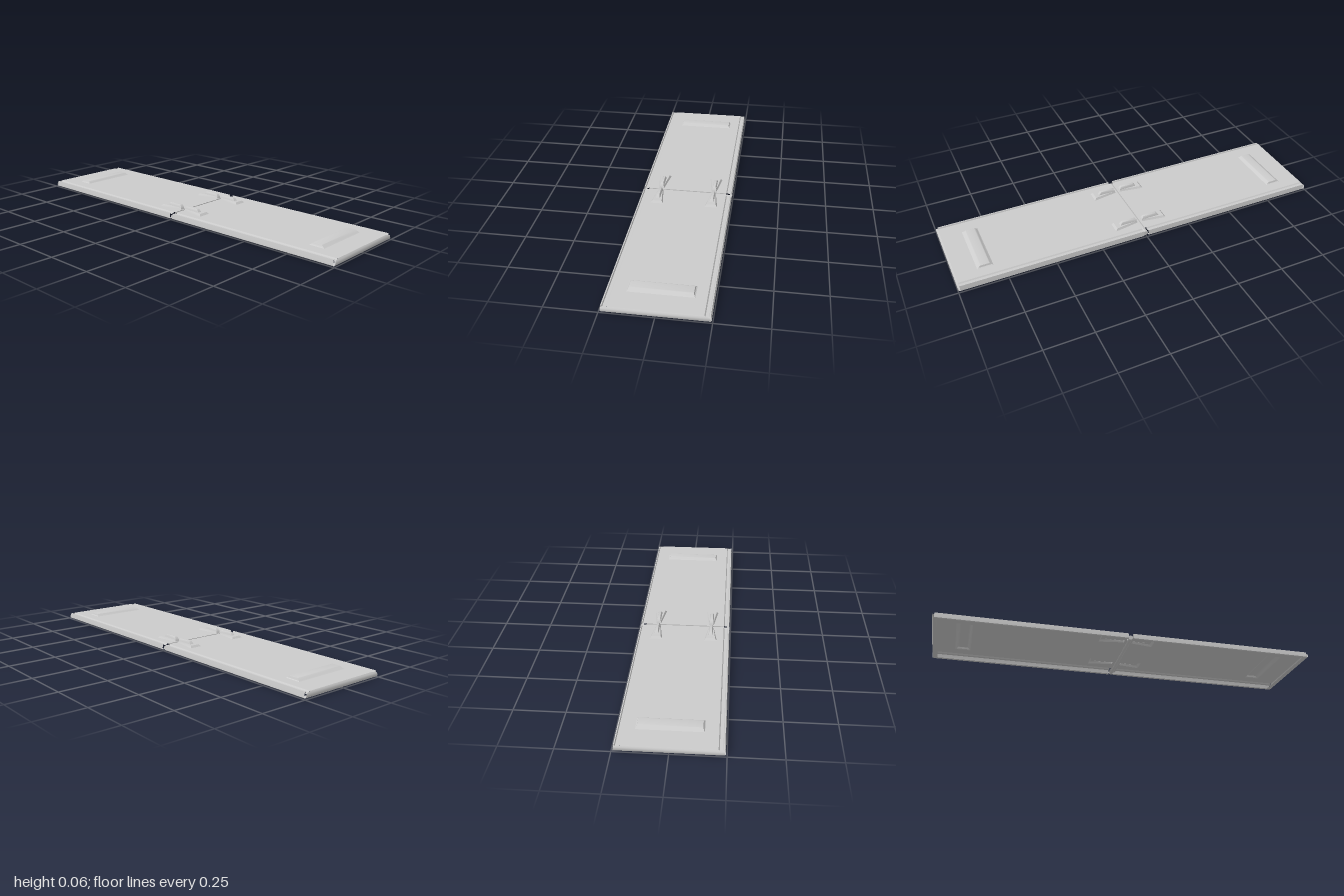
import * as THREE from 'three';
import { toCreasedNormals } from 'three/addons/utils/BufferGeometryUtils.js';

const mat = new THREE.MeshStandardMaterial({ color: 0xcccccc, side: THREE.DoubleSide });

function add(group, name, geometry) {
  const mesh = new THREE.Mesh(geometry, mat);
  mesh.name = name;
  group.add(mesh);
  return mesh;
}

// Thin skin through rows of [x, y, z] points
function skin(rows) {
  const n = rows[0].length, index = [];
  for (let r = 0; r < rows.length - 1; r++) {
    for (let i = 0; i < n - 1; i++) {
      const a = r * n + i, b = a + n;
      index.push(a, b, a + 1, b, b + 1, a + 1);
    }
  }
  const g = new THREE.BufferGeometry();
  g.setAttribute('position', new THREE.Float32BufferAttribute(rows.flat(2), 3));
  g.setIndex(index);
  return toCreasedNormals(g, 0.6);
}

// Hollow pressed bump: each ring is four [x, z] corners at height y; the last is closed
function bump(rings) {
  const rows = rings.map(({ y, c }) => [...c, c[0]].map(([x, z]) => [x, y, z]));
  const top = rings[rings.length - 1];
  const cx = top.c.reduce((t, p) => t + p[0], 0) / 4;
  const cz = top.c.reduce((t, p) => t + p[1], 0) / 4;
  rows.push(rows[0].map(() => [cx, top.y, cz]));
  return skin(rows);
}

const rect = (x0, x1, z0, z1) => [[x0, z0], [x0, z1], [x1, z1], [x1, z0]];

const TOP = 0.032;

// Footprints of the pressed shapes, for the half on side s
const handleFoot = s => rect(s * 0.80, s * 0.882, -0.16, 0.15);
const hingeFoot = (s, z) => [
  [s * 0.012, z - 0.013], [s * 0.012, z + 0.013],
  [s * 0.145, z + 0.034], [s * 0.145, z - 0.034]];

function createHalf(s) {
  const half = new THREE.Group();
  half.name = s > 0 ? 'leftHalf' : 'rightHalf';

  // Top sheet with openings under the bumps
  const path = pts => pts.map(([x, z]) => new THREE.Vector2(x, -z));
  const shape = new THREE.Shape(path(rect(s * 0.004, s * 0.992, -0.213, 0.213)));
  for (const foot of [handleFoot(s), hingeFoot(s, 0.145), hingeFoot(s, -0.145)]) {
    shape.holes.push(new THREE.Path(path(foot)));
  }
  const sheet = new THREE.ShapeGeometry(shape);
  sheet.rotateX(-Math.PI / 2).translate(0, TOP, 0);
  add(half, 'topSheet', sheet);

  // Long side rims: inner lip, outer wall, raised bead and groove
  const rim = [[0.231, 0.005], [0.242, 0.003], [0.245, 0.006], [0.244, 0.016], [0.241, 0.033],
    [0.236, 0.033], [0.233, 0.026], [0.218, 0.026], [0.213, TOP]];
  for (const f of [1, -1]) {
    const side = [0.012, 0.99].map(x => rim.map(([z, y]) => [s * x, y, f * z]));
    add(half, f > 0 ? 'frontRim' : 'backRim', skin(side));
  }

  // Rounded outer end wall, lower where it meets the grooves
  const end = [[0.972, 0.006, 0.232], [0.988, 0.003, 0.242], [0.997, 0.006, 0.244],
    [1, 0.014, 0.243], [0.998, 0.025, 0.24], [0.992, TOP, 0.213]];
  add(half, 'endWall', skin(end.map(([x, y, w]) => [[s * x, y, -w], [s * x, y, w]])));
  for (const f of [1, -1]) {
    add(half, 'cornerPlate', skin([[0.985, 0.025], [0.998, 0.025]].map(
      ([x, y]) => [[s * x, y, f * 0.212], [s * x, y, f * 0.24]])));
  }

  // Inner wall along the fold
  const fold = [[0.018, 0.006], [0.006, 0.006], [0.004, 0.014], [0.004, TOP]];
  add(half, 'foldWall', skin(fold.map(([x, y]) => [[s * x, y, -0.213], [s * x, y, 0.213]])));

  // Raised end grip
  add(half, 'gripPad', bump([
    { y: TOP, c: handleFoot(s) },
    { y: 0.035, c: rect(s * 0.806, s * 0.876, -0.155, 0.146) },
    { y: 0.044, c: rect(s * 0.815, s * 0.864, -0.152, 0.142) },
    { y: 0.045, c: rect(s * 0.819, s * 0.86, -0.149, 0.139) }]));

  // Hinge pads flaring outward, with a narrow knuckle ridge
  for (const z of [0.145, -0.145]) {
    add(half, 'hingePad', bump([
      { y: TOP, c: hingeFoot(s, z) },
      { y: 0.042, c: [[s * 0.016, z - 0.01], [s * 0.016, z + 0.01],
        [s * 0.135, z + 0.025], [s * 0.135, z - 0.025]] }]));
    add(half, 'hingeRidge', bump([
      { y: 0.041, c: rect(s * 0.014, s * 0.112, z - 0.011, z + 0.011) },
      { y: 0.055, c: rect(s * 0.022, s * 0.1, z - 0.008, z + 0.008) },
      { y: 0.057, c: rect(s * 0.026, s * 0.096, z - 0.006, z + 0.006) }]));
  }
  return half;
}

export function createModel() {
  const model = new THREE.Group();
  model.name = 'foldingBoard';
  model.add(createHalf(1), createHalf(-1));

  // Hinge rod below the fold
  const rod = new THREE.CylinderGeometry(0.012, 0.012, 0.47, 16);
  rod.rotateX(Math.PI / 2).translate(0, 0.013, 0);
  add(model, 'hingeRod', rod);
  return model;
}
